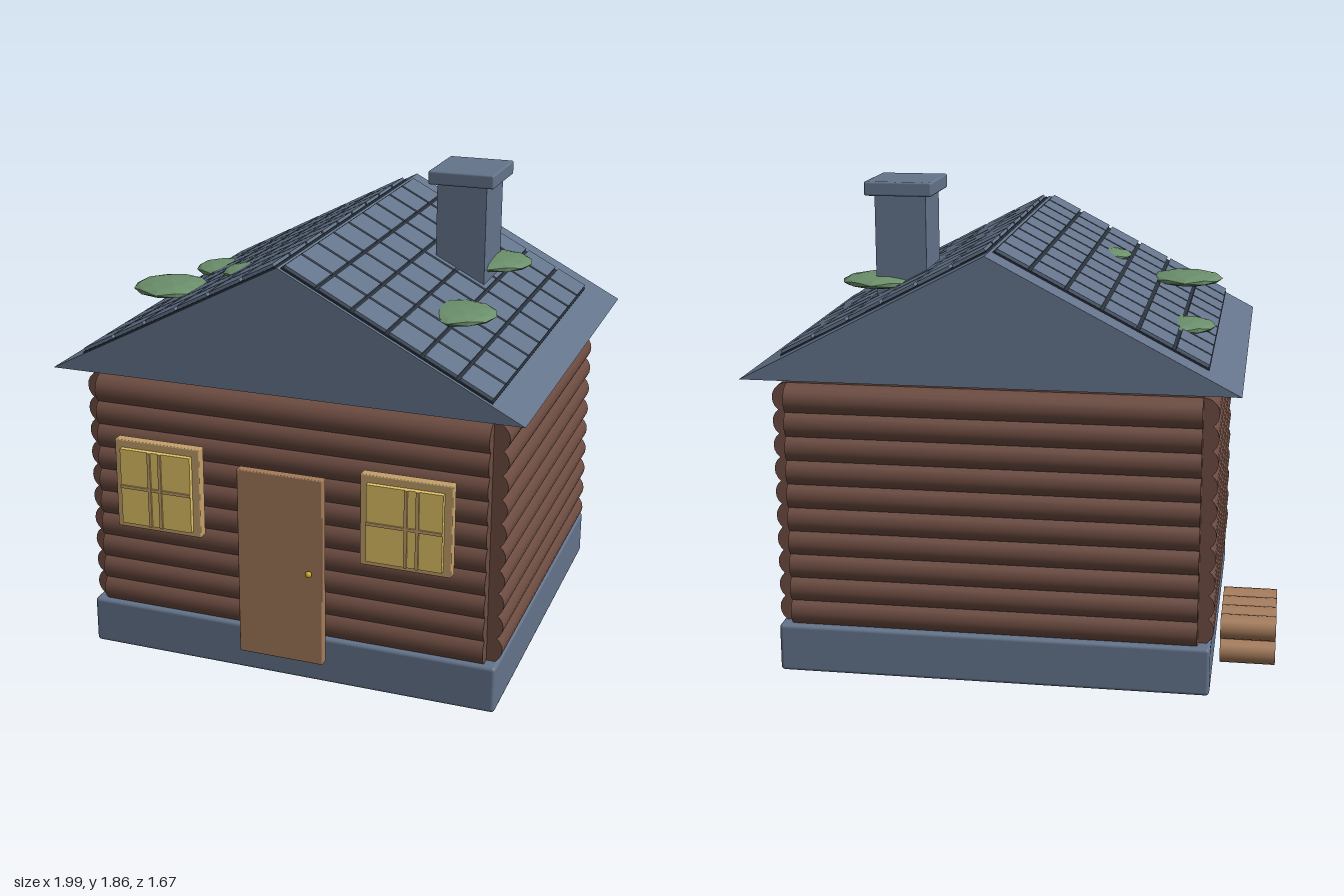
import * as THREE from 'three';
import { RoundedBoxGeometry } from 'three/addons/geometries/RoundedBoxGeometry.js';

const mat = (name, color) => {
  const m = new THREE.MeshStandardMaterial({ color });
  m.name = name;
  return m;
};

export function createModel() {
  const slate = mat('slate', 0x64748b);
  const joint = mat('dark joint', 0x2a323c);
  const bark = mat('log brown', 0x6d4c41);
  const wood = mat('light wood', 0xa67c5b);
  const trim = mat('window trim', 0xc4a06a);
  const glass = mat('lit glass', 0xe6c667);
  const moss = mat('moss green', 0x6b8f6b);
  const brass = mat('brass', 0xc9a227);

  const model = new THREE.Group();
  model.name = 'logCabin';

  const add = (name, geometry, material, parent = model) => {
    const mesh = new THREE.Mesh(geometry, material);
    mesh.name = name;
    parent.add(mesh);
    return mesh;
  };
  const group = (name) => {
    const g = new THREE.Group();
    g.name = name;
    model.add(g);
    return g;
  };
  // Box given by its minimum and maximum on each axis
  const box = (name, x0, x1, y0, y1, z0, z1, material, parent, round = 0) => {
    const s = [x1 - x0, y1 - y0, z1 - z0];
    const geo = round ? new RoundedBoxGeometry(...s, 2, round) : new THREE.BoxGeometry(...s);
    const mesh = add(name, geo, material, parent);
    mesh.position.set((x0 + x1) / 2, (y0 + y1) / 2, (z0 + z1) / 2);
    return mesh;
  };

  // Foundation
  box('foundation', -0.76, 0.9, 0, 0.19, -0.77, 0.74, slate, model, 0.015);

  // Log walls: each course ends at the axis of the neighbouring wall
  const L = -0.71, R = 0.85, B = -0.71, F = 0.685, logR = 0.06;
  const walls = group('logWalls');
  const alongX = new THREE.CylinderGeometry(logR, logR, R - L, 20).rotateZ(Math.PI / 2);
  const alongZ = new THREE.CylinderGeometry(logR, logR, F - B, 20).rotateX(Math.PI / 2);
  for (let i = 0; i < 10; i++) {
    const y = 0.24 + i * 0.0935;
    for (const z of [F, B]) add('wallLog', alongX, bark, walls).position.set((L + R) / 2, y, z);
    for (const x of [L, R]) add('wallLog', alongZ, bark, walls).position.set(x, y, (F + B) / 2);
  }
  box('topBeam', L, R, 1.1, 1.16, B, F, bark, walls);
  box('roofPlate', L, R, 1.17, 1.181, B, F, bark, walls);

  // Gable roof
  const ridgeX = 0.07, eaveY = 1.18, half = 0.92, rise = 0.48;
  const gable = new THREE.Shape();
  gable.moveTo(ridgeX - half, eaveY);
  gable.lineTo(ridgeX + half, eaveY);
  gable.lineTo(ridgeX, eaveY + rise);
  gable.closePath();
  add('roof', new THREE.ExtrudeGeometry(gable, { depth: 1.64, bevelEnabled: false }), slate).position.z = -0.84;

  // Shingles over a dark underlay, on both slopes
  const slope = Math.atan2(rise, half);
  const rowPitch = 0.131 / Math.cos(slope), colPitch = 0.1672;
  const shingleGeo = new THREE.BoxGeometry(rowPitch - 0.014, 0.018, colPitch - 0.014);
  const underlayGeo = new THREE.BoxGeometry(rowPitch * 6, 0.006, colPitch * 9);
  for (const side of [-1, 1]) {
    const face = group(side < 0 ? 'rightShingles' : 'leftShingles');
    face.position.set(ridgeX, eaveY + rise, 0);
    face.rotation.z = -side * slope;
    add('underlay', underlayGeo, joint, face).position.set(side * (0.011 + rowPitch * 3), 0.003, 0.0325);
    for (let r = 0; r < 6; r++)
      for (let c = 0; c < 9; c++)
        add('shingle', shingleGeo, slate, face).position
          .set(side * (0.011 + rowPitch * (r + 0.5)), 0.009, -0.72 + colPitch * (c + 0.5));
  }

  // Chimney
  box('chimneyStack', 0.39, 0.59, 1.4, 1.81, -0.33, -0.085, slate);
  box('chimneyCap', 0.36, 0.625, 1.8, 1.855, -0.36, -0.055, slate, model, 0.008);

  // Moss patches: flattened faceted blobs set into the roof
  const mossGeo = new THREE.IcosahedronGeometry(1, 1);
  mossGeo.computeVertexNormals();
  const patches = [
    [-0.58, 1.395, 0.31, 0.15], [-0.605, 1.315, -0.27, 0.125], [-0.24, 1.485, 0.305, 0.11],
    [0.6, 1.41, 0.31, 0.15], [0.59, 1.46, -0.27, 0.148],
  ];
  for (const [x, y, z, r] of patches) {
    const m = add('mossPatch', mossGeo, moss);
    m.position.set(x, y, z);
    m.scale.set(r, 0.028, r);
  }

  // Door and knob
  box('door', -0.1, 0.24, 0.11, 0.87, 0.765, 0.803, wood, model, 0.004);
  add('doorKnob', new THREE.SphereGeometry(0.013, 12, 8), brass).position.set(0.19, 0.49, 0.815);

  // Windows with frame, lit pane and glazing bars
  const addWindow = (name, cx, barX) => {
    const w = group(name);
    box('windowFrame', cx - 0.175, cx + 0.175, 0.565, 0.925, 0.765, 0.808, trim, w, 0.004);
    box('windowPane', cx - 0.145, cx + 0.145, 0.59, 0.895, 0.806, 0.828, glass, w);
    for (const x of [barX - 0.022, barX + 0.022])
      box('verticalBar', x - 0.006, x + 0.006, 0.59, 0.895, 0.826, 0.835, trim, w);
    box('horizontalBar', cx - 0.145, cx + 0.145, 0.737, 0.749, 0.826, 0.834, trim, w);
  };
  addWindow('rightWindow', -0.425, -0.426);
  addWindow('leftWindow', 0.565, 0.594);

  // Firewood stacked two high against the side
  const pile = group('firewoodPile');
  const fireGeo = new THREE.CylinderGeometry(0.048, 0.048, 0.21, 16).rotateZ(Math.PI / 2);
  for (let row = 0; row < 2; row++)
    for (let i = 0; i < 4; i++)
      add('firewood', fireGeo, wood, pile).position.set(-0.895, 0.108 + row * 0.096, -0.565 + i * 0.096);

  return model;
}
